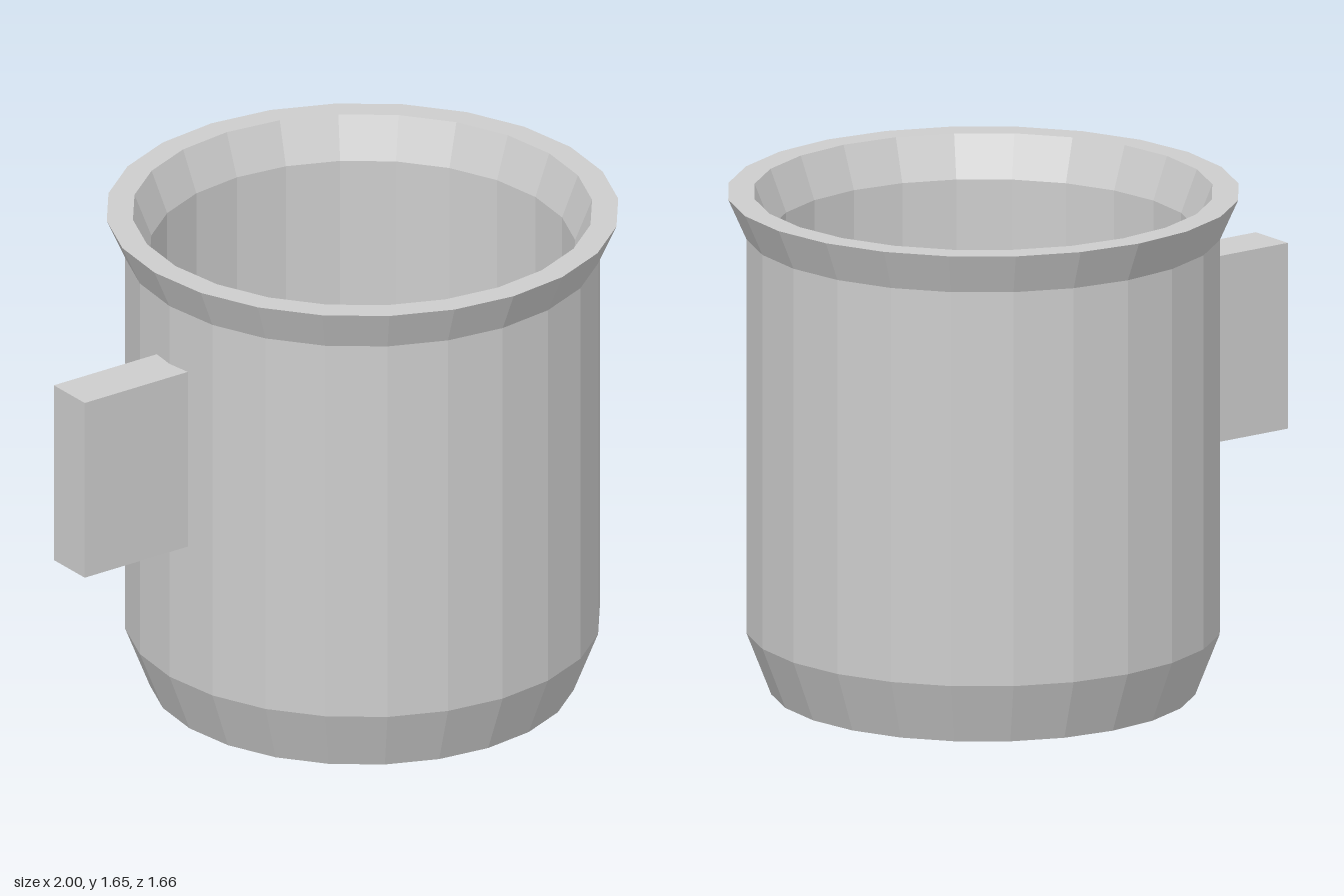
import * as THREE from 'three';

const CUP_X = 0.17;
const SIDES = 24;

// Faceted look: every face gets its own normal
function faceted(geometry) {
  const g = geometry.toNonIndexed();
  g.computeVertexNormals();
  return g;
}

export function createModel() {
  const model = new THREE.Group();
  model.name = 'mug';
  const grey = new THREE.MeshStandardMaterial({ color: 0xcccccc });
  grey.name = 'grey';

  // Cup: closed wall profile (radius, height) with a pinhole in the floor
  const profile = [
    [0.015, 0], [0.69, 0], [0.77, 0.205], [0.77, 1.52], [0.83, 1.655],
    [0.745, 1.655], [0.69, 1.515], [0.69, 0.1], [0.015, 0.1], [0.015, 0],
  ].map(([r, y]) => new THREE.Vector2(r, y));
  const cup = new THREE.Mesh(faceted(new THREE.LatheGeometry(profile, SIDES)), grey);
  cup.name = 'cup';
  cup.position.x = CUP_X;
  model.add(cup);

  // Handle: solid slab set into the cup wall
  const handle = new THREE.Mesh(new THREE.BoxGeometry(0.42, 0.62, 0.17), grey);
  handle.name = 'handle';
  handle.position.set(-0.79, 1.005, 0);
  model.add(handle);

  return model;
}
